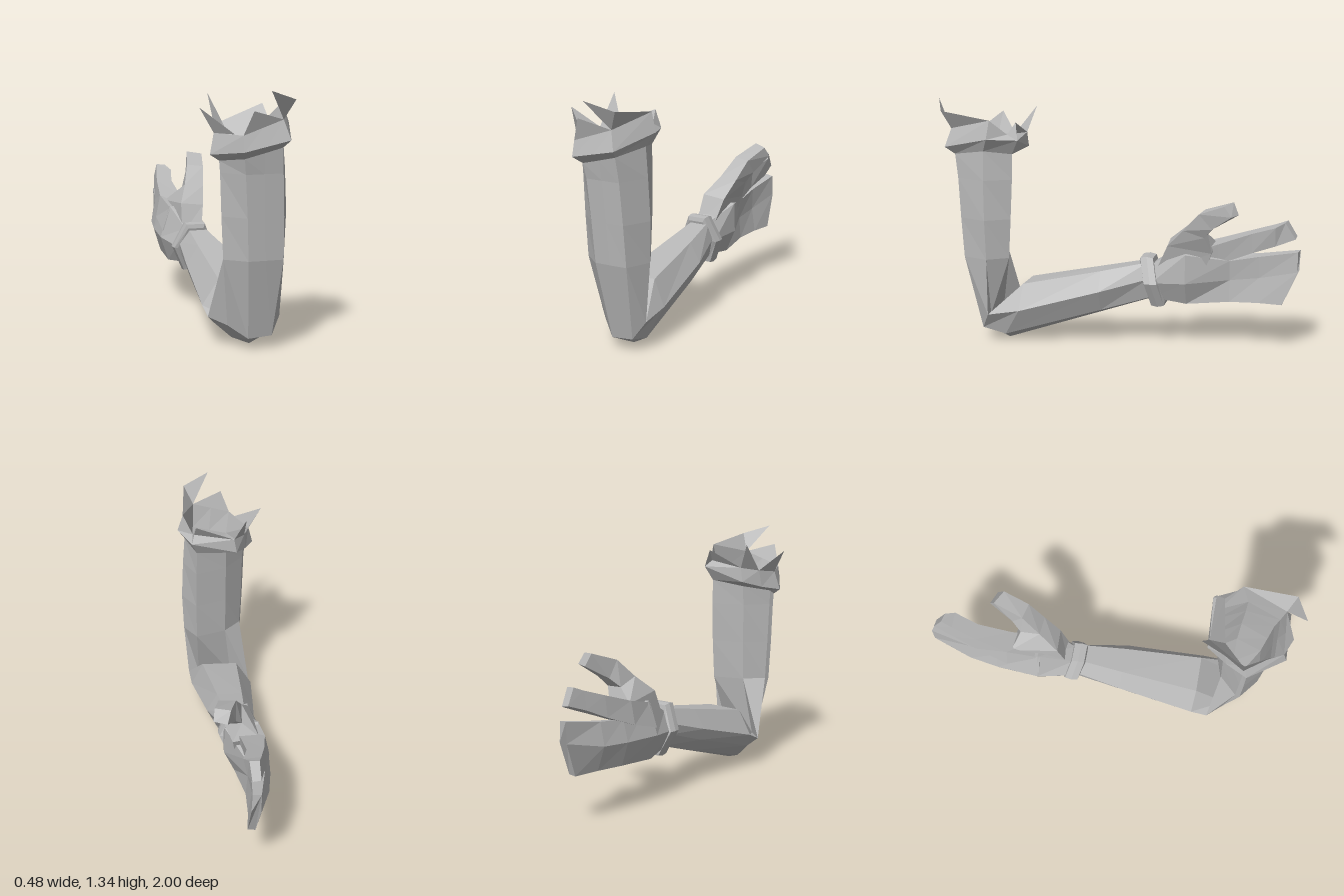
import * as THREE from 'three';

const grey = new THREE.MeshStandardMaterial({ color: 0xb8b8b8, side: THREE.DoubleSide });

// Flat-shaded mesh from a list of triangles (each three [x, y, z] points)
function meshFrom(name, tris) {
  let volume = 0;
  for (const [a, b, c] of tris) {
    volume += new THREE.Vector3(...a).dot(new THREE.Vector3(...b).cross(new THREE.Vector3(...c)));
  }
  const ordered = volume < 0 ? tris.map(([a, b, c]) => [a, c, b]) : tris;
  const geo = new THREE.BufferGeometry();
  geo.setAttribute('position', new THREE.Float32BufferAttribute(ordered.flat(2), 3));
  geo.computeVertexNormals();
  const mesh = new THREE.Mesh(geo, grey);
  mesh.name = name;
  return mesh;
}

// Triangles joining successive rings with equal point counts
function skin(rings) {
  const tris = [];
  for (let r = 0; r < rings.length - 1; r++) {
    const a = rings[r], b = rings[r + 1], n = a.length;
    for (let i = 0; i < n; i++) {
      const j = (i + 1) % n;
      tris.push([a[i], a[j], b[j]], [a[i], b[j], b[i]]);
    }
  }
  return tris;
}

// Closed body through the rings, with a flat cap on each end
function loft(name, rings) {
  const tris = skin(rings), first = rings[0], last = rings[rings.length - 1];
  for (let i = 1; i < first.length - 1; i++) {
    tris.push([first[0], first[i + 1], first[i]], [last[0], last[i], last[i + 1]]);
  }
  return meshFrom(name, tris);
}

const atY = (y, pts) => pts.map(([x, z]) => [x, y, z]);
const atZ = (z, pts) => pts.map(([x, y]) => [x, y, z]);

export function createModel() {
  const model = new THREE.Group();
  model.name = 'bentArm';

  // Ring where the sleeve cuff meets the open top of the arm
  const armTop = [[-0.14, 1, 0.735], [-0.15, 0.98, 0.757], [-0.055, 1, 0.88], [0.045, 1.025, 0.88],
    [0.14, 1.05, 0.88], [0.2, 1.08, 0.7], [0.14, 1.06, 0.555], [-0.03, 1.03, 0.615]];

  // Hollow arm, folding at the elbow and running to the wrist
  model.add(meshFrom('arm', skin([
    armTop,
    atY(0.92, [[-0.135, 0.735], [-0.145, 0.757], [-0.045, 0.865], [0.05, 0.865], [0.15, 0.862], [0.212, 0.7], [0.143, 0.557], [-0.03, 0.62]]),
    atY(0.7, [[-0.128, 0.73], [-0.137, 0.755], [-0.03, 0.85], [0.06, 0.85], [0.16, 0.847], [0.222, 0.695], [0.147, 0.567], [-0.028, 0.625]]),
    atY(0.48, [[-0.118, 0.725], [-0.126, 0.75], [-0.02, 0.835], [0.07, 0.835], [0.165, 0.83], [0.214, 0.69], [0.145, 0.58], [-0.025, 0.632]]),
    [[-0.16, 0.15, 0.59], [-0.08, 0.12, 0.67], [0.01, 0.06, 0.74], [0.07, 0.065, 0.74],
      [0.135, 0.07, 0.74], [0.19, 0.16, 0.695], [0.13, 0.15, 0.695], [-0.06, 0.15, 0.68]],
    [[-0.165, 0.19, 0.5], [-0.12, 0.11, 0.54], [-0.03, 0.03, 0.575], [0.055, 0, 0.61],
      [0.135, 0.04, 0.61], [0.185, 0.19, 0.52], [0.12, 0.33, 0.51], [-0.08, 0.325, 0.51]],
    atZ(0.08, [[-0.135, 0.31], [-0.115, 0.245], [-0.055, 0.175], [0, 0.17], [0.075, 0.195], [0.13, 0.31], [0.07, 0.415], [-0.07, 0.415]]),
    atZ(-0.18, [[-0.11, 0.39], [-0.1, 0.33], [-0.06, 0.26], [-0.02, 0.255], [0.03, 0.27], [0.06, 0.38], [0.03, 0.47], [-0.06, 0.47]]),
  ])));

  // Tilted wristband with bevelled edges
  const band = [[-0.08, 0.5], [-0.145, 0.36], [-0.08, 0.22], [0.03, 0.22], [0.09, 0.36], [0.03, 0.5]];
  const bandRing = (z, s) => band.map(([x, y]) =>
    [-0.027 + (x + 0.027) * s, 0.36 + (y - 0.36) * s, z - (0.36 - y) * 0.22]);
  model.add(loft('wristband', [
    bandRing(-0.16, 0.8), bandRing(-0.165, 0.96), bandRing(-0.2, 1), bandRing(-0.235, 0.95), bandRing(-0.24, 0.78),
  ]));

  // Palm with the three joined fingers
  model.add(loft('palmAndFingers', [
    atZ(-0.2, [[-0.07, 0.46], [-0.12, 0.36], [-0.08, 0.27], [0.02, 0.27], [0.06, 0.36], [0.02, 0.46]]),
    atZ(-0.39, [[-0.11, 0.56], [-0.165, 0.38], [-0.12, 0.245], [0.02, 0.245], [0.075, 0.37], [0.07, 0.53]]),
    atZ(-0.62, [[-0.12, 0.51], [-0.15, 0.39], [-0.11, 0.26], [-0.02, 0.26], [-0.03, 0.38], [-0.02, 0.49]]),
    atZ(-0.78, [[-0.1, 0.525], [-0.125, 0.4], [-0.08, 0.265], [-0.015, 0.265], [-0.035, 0.4], [-0.03, 0.52]]),
    [[-0.06, 0.565, -1], [-0.06, 0.45, -0.995], [-0.04, 0.26, -0.91], [0, 0.265, -0.91], [-0.01, 0.45, -0.99], [-0.015, 0.56, -0.99]],
  ]));

  model.add(loft('indexFinger', [
    atZ(-0.38, [[-0.11, 0.55], [-0.155, 0.42], [0.02, 0.42], [0.03, 0.52]]),
    atZ(-0.56, [[-0.125, 0.595], [-0.15, 0.47], [-0.015, 0.47], [0, 0.585]]),
    atZ(-0.74, [[-0.1, 0.655], [-0.115, 0.54], [-0.02, 0.54], [-0.01, 0.65]]),
    atZ(-0.87, [[-0.07, 0.7], [-0.085, 0.6], [0, 0.59], [0.02, 0.695]]),
    [[-0.055, 0.725, -0.93], [-0.06, 0.64, -0.98], [-0.015, 0.63, -0.975], [-0.005, 0.72, -0.92]],
  ]));

  // Thumb, its broad root sunk into the palm
  model.add(loft('thumb', [
    [[-0.08, 0.42, -0.22], [0.03, 0.42, -0.22], [0.02, 0.42, -0.48], [-0.11, 0.42, -0.48]],
    [[-0.07, 0.59, -0.285], [0.06, 0.575, -0.29], [0.04, 0.54, -0.53], [-0.1, 0.57, -0.54]],
    [[-0.02, 0.68, -0.39], [0.085, 0.67, -0.38], [0.08, 0.635, -0.495], [-0.01, 0.64, -0.5]],
    [[0.02, 0.78, -0.49], [0.11, 0.77, -0.47], [0.11, 0.69, -0.54], [0.025, 0.69, -0.55]],
    [[0.06, 0.835, -0.65], [0.14, 0.825, -0.61], [0.15, 0.77, -0.65], [0.08, 0.77, -0.68]],
  ]));

  // Torn sleeve cuff: flared outside, sloping back inside to the arm
  const bulge = [[-0.145, 1.035, 0.635], [-0.195, 1.01, 0.75], [-0.075, 1.04, 0.94], [0.045, 1.065, 0.935],
    [0.165, 1.09, 0.93], [0.24, 1.15, 0.67], [0.17, 1.14, 0.515], [-0.084, 1.07, 0.525]];
  const rim = [[-0.135, 1.13, 0.62], [-0.17, 1.115, 0.73], [-0.075, 1.12, 0.92], [0.03, 1.155, 0.91],
    [0.135, 1.19, 0.9], [0.21, 1.25, 0.66], [0.16, 1.17, 0.575], [-0.07, 1.15, 0.53]];
  model.add(meshFrom('cuff', skin([armTop, bulge, rim, armTop])));

  // Ragged points standing on the rim
  const [backLeft, left, frontLeft, , frontRight, right, back, backMid] = rim;
  const corner = [0.185, 1.29, 0.94], sideTip = [-0.24, 1.24, 0.72], backTip = [-0.135, 1.29, 0.49];
  model.add(meshFrom('cuffPoints', [
    [frontRight, corner, [0.04, 1.34, 1]], [frontRight, right, corner],
    [frontLeft, frontRight, [-0.03, 1.24, 0.95]],
    [left, [-0.1, 1.12, 0.86], sideTip], [backLeft, left, sideTip],
    [backMid, backLeft, backTip],
    [back, backMid, [0.145, 1.235, 0.53]], [back, [0.145, 1.235, 0.53], bulge[6]],
  ]));

  return model;
}
